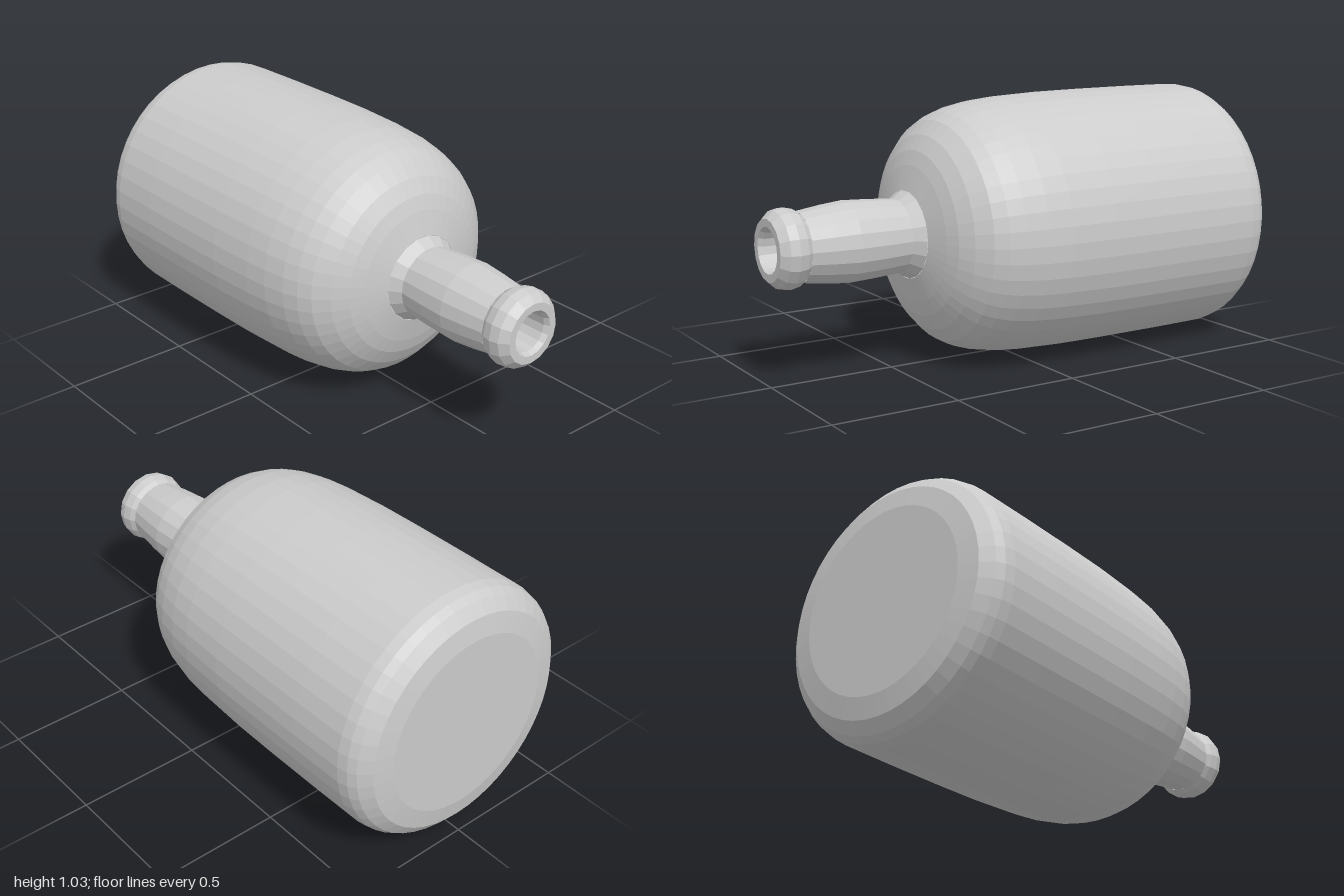
import * as THREE from 'three';

const AXIS_Y = 0.515; // height of the bottle's axis

// Turned part along the x axis; profile points are [x, radius], ordered base to mouth.
function turned(name, profile, sides) {
  const points = profile.map(([x, r]) => new THREE.Vector2(r, x));
  const geometry = new THREE.LatheGeometry(points, sides);
  geometry.rotateZ(-Math.PI / 2);
  const material = new THREE.MeshStandardMaterial({
    color: 0xcccccc, flatShading: true, side: THREE.DoubleSide,
  });
  const mesh = new THREE.Mesh(geometry, material);
  mesh.name = name;
  mesh.position.y = AXIS_Y;
  return mesh;
}

export function createModel() {
  const bottle = new THREE.Group();
  bottle.name = 'bottle';

  // Base, slightly rounded out to the heel
  bottle.add(turned('base', [
    [-1, 0], [-1, 0.36], [-0.985, 0.44], [-0.95, 0.485],
  ], 48));

  // Barrel and rounded shoulder
  bottle.add(turned('body', [
    [-0.95, 0.485], [-0.92, 0.503], [-0.88, 0.512], [-0.65, 0.514], [-0.4, 0.514],
    [-0.2, 0.512], [0, 0.504], [0.1, 0.495], [0.19, 0.478], [0.25, 0.458],
    [0.3, 0.43], [0.35, 0.378], [0.385, 0.32], [0.405, 0.265], [0.43, 0.17],
  ], 48));

  // Tapered collar between shoulder and neck
  bottle.add(turned('collar', [[0.43, 0.17], [0.475, 0.138]], 18));

  // Gently swelling neck
  bottle.add(turned('neck', [
    [0.475, 0.142], [0.58, 0.15], [0.69, 0.155], [0.78, 0.146], [0.88, 0.132],
  ], 18));

  // Lip with a recessed mouth
  bottle.add(turned('lip', [
    [0.88, 0.132], [0.9, 0.145], [0.935, 0.153], [0.97, 0.145], [1, 0.118],
    [1, 0.088], [0.98, 0.078], [0.86, 0.075], [0.86, 0],
  ], 16));

  return bottle;
}
